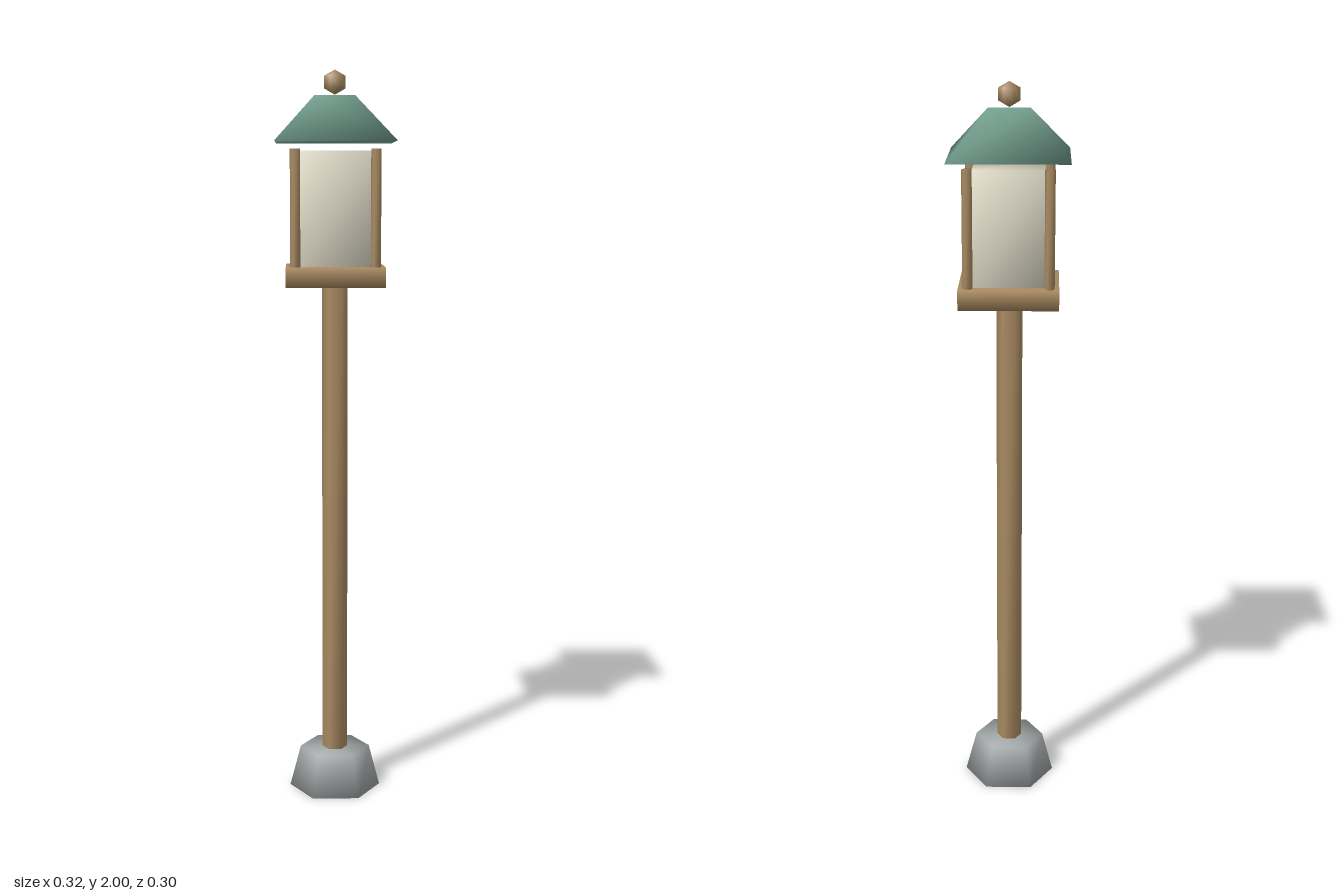
import * as THREE from 'three';
import { mergeVertices } from 'three/addons/utils/BufferGeometryUtils.js';

const material = (color) => new THREE.MeshStandardMaterial({ color });
const wood = material(0xa98a62);
const stone = material(0xa3a8a8);
const paper = material(0xe4dfcc);
const copper = material(0x76a392);

// Weld all corners so the shading flows over the edges
function weld(geometry) {
  geometry.deleteAttribute('normal');
  geometry.deleteAttribute('uv');
  const welded = mergeVertices(geometry, 1e-4);
  welded.computeVertexNormals();
  return welded;
}

// Six-sided post with corners on the x axis
function hexPost(rTop, rBottom, y0, y1) {
  const g = new THREE.CylinderGeometry(rTop, rBottom, y1 - y0, 6);
  return weld(g.rotateY(Math.PI / 6).translate(0, (y0 + y1) / 2, 0));
}

function box(w, d, y0, y1) {
  return weld(new THREE.BoxGeometry(w, y1 - y0, d).translate(0, (y0 + y1) / 2, 0));
}

// Closed hip roof: four eave corners and a short ridge along x
function hipRoof(x, z, ridge, y0, y1) {
  const g = new THREE.BufferGeometry();
  g.setAttribute('position', new THREE.Float32BufferAttribute([
    -x, y0, -z, x, y0, -z, x, y0, z, -x, y0, z,
    -ridge, y1, 0, ridge, y1, 0,
  ], 3));
  g.setIndex([
    3, 2, 4, 2, 5, 4, // front slope
    1, 0, 4, 1, 4, 5, // back slope
    0, 3, 4, 2, 1, 5, // hips
    0, 1, 2, 0, 2, 3, // underside
  ]);
  g.computeVertexNormals();
  return g;
}

export function createModel() {
  const model = new THREE.Group();
  model.name = 'postLantern';

  const add = (name, geometry, mat, x = 0, z = 0) => {
    const mesh = new THREE.Mesh(geometry, mat);
    mesh.name = name;
    mesh.position.set(x, 0, z);
    model.add(mesh);
  };

  add('stoneFoot', hexPost(0.097, 0.127, 0, 0.115), stone);
  add('mainPost', hexPost(0.035, 0.035, 0.08, 1.44), wood);
  add('platform', box(0.265, 0.254, 1.427, 1.48), wood);
  add('lampBody', box(0.19, 0.182, 1.48, 1.785), paper);

  // Four corner posts of the lamp housing
  const corner = hexPost(0.0135, 0.0135, 1.47, 1.79);
  for (const [sx, side] of [[1, 'Left'], [-1, 'Right']]) {
    for (const [sz, end] of [[1, 'front'], [-1, 'back']]) {
      add(`${end}${side}CornerPost`, corner, wood, sx * 0.107, sz * 0.103);
    }
  }

  add('roof', hipRoof(0.16, 0.152, 0.055, 1.81, 1.933), copper);
  add('finial', weld(new THREE.SphereGeometry(0.033, 6, 3).translate(0, 1.967, 0)), wood);

  return model;
}
